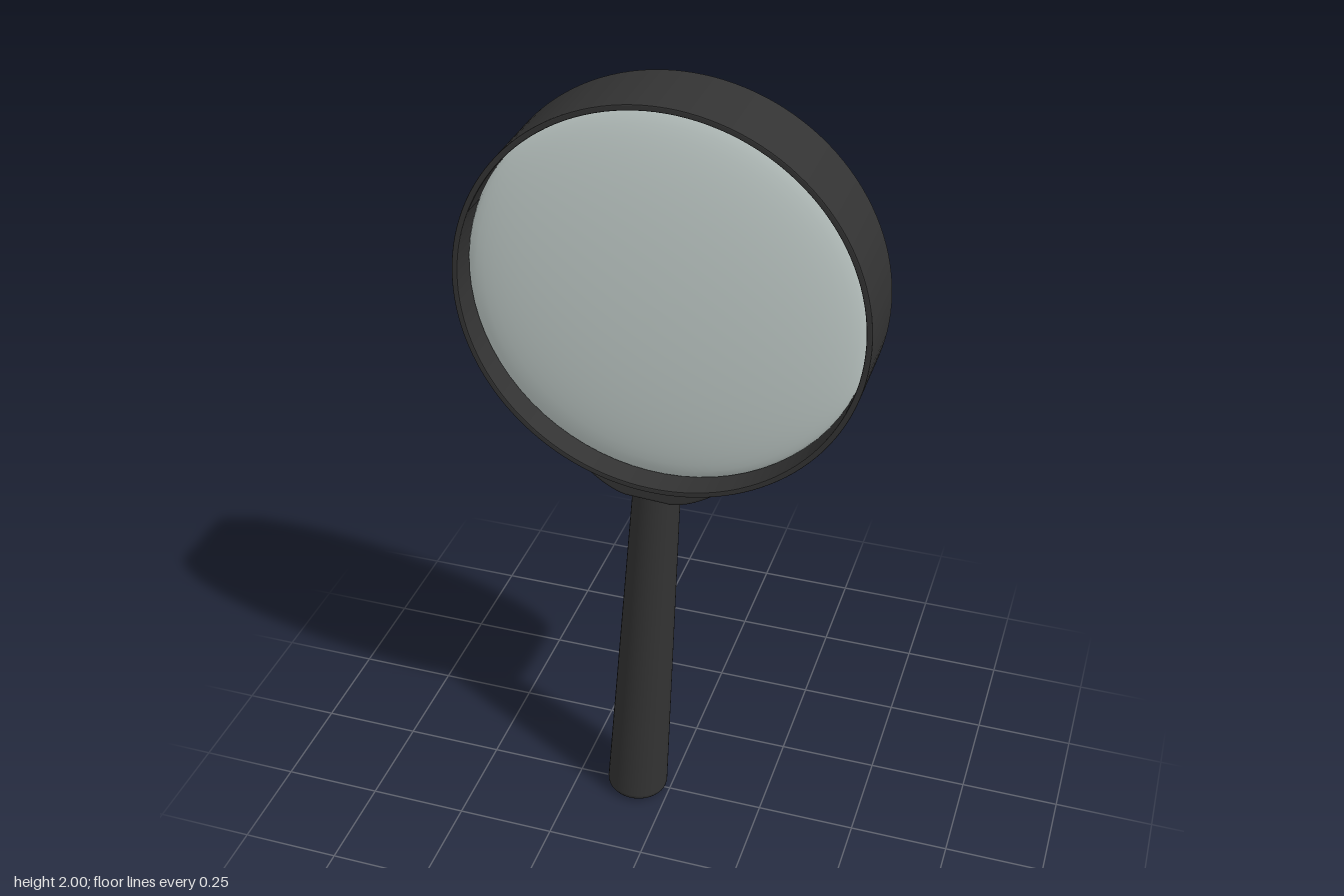
import * as THREE from 'three';

export function createModel() {
  const black = new THREE.MeshStandardMaterial({ color: 0x333333 });
  black.name = 'black plastic';
  const glass = new THREE.MeshStandardMaterial({ color: 0xc3cecb });
  glass.name = 'pale glass';

  const model = new THREE.Group();
  model.name = 'magnifyingGlass';
  const add = (name, geometry, material, parent) => {
    const mesh = new THREE.Mesh(geometry, material);
    mesh.name = name;
    parent.add(mesh);
    return mesh;
  };

  // Everything is centred on the middle of the lens
  const head = new THREE.Group();
  head.name = 'head';
  head.position.y = 1.515;
  model.add(head);

  // Deep ring around the lens
  const R = 0.485, r = 0.471, d = 0.097;
  const ring = new THREE.Shape().absarc(0, 0, R - 0.003, 0, Math.PI * 2);
  ring.holes.push(new THREE.Path().absarc(0, 0, r + 0.003, 0, Math.PI * 2, true));
  const ringGeometry = new THREE.ExtrudeGeometry(ring, {
    depth: d * 2, curveSegments: 64, bevelSize: 0.003, bevelThickness: 0.002, bevelSegments: 2,
  });
  ringGeometry.translate(0, 0, -d);
  add('rim', ringGeometry, black, head);

  // Lens bulging on both sides, recessed in the ring
  const profile = [];
  const steps = 14, edge = 0.03, bulge = 0.055;
  for (const side of [-1, 1]) {
    for (let i = 0; i <= steps; i++) {
      const a = (side < 0 ? i : steps - i) / steps * Math.PI / 2;
      profile.push(new THREE.Vector2(r * Math.sin(a), side * (edge + bulge * Math.cos(a))));
    }
  }
  const lens = add('lens', new THREE.LatheGeometry(profile, 72), glass, head);
  lens.rotation.x = Math.PI / 2;

  // The grip leans slightly to one side
  const grip = new THREE.Group();
  grip.name = 'grip';
  grip.rotation.z = -0.06;
  head.add(grip);

  // Flared collar joining ring and handle
  const collar = new THREE.Shape();
  const reach = 0.39;
  const cx = 0.478 * Math.sin(reach), cy = -0.478 * Math.cos(reach);
  collar.moveTo(-cx, cy);
  collar.quadraticCurveTo(-0.11, -0.51, -0.055, -0.518);
  collar.lineTo(0.055, -0.518);
  collar.quadraticCurveTo(0.11, -0.51, cx, cy);
  collar.absarc(0, 0, 0.478, -Math.PI / 2 + reach, -Math.PI / 2 - reach, true);
  const collarGeometry = new THREE.ExtrudeGeometry(collar, {
    depth: 0.14, curveSegments: 20, bevelSize: 0.008, bevelOffset: -0.001, bevelThickness: 0.009, bevelSegments: 3,
  });
  collarGeometry.translate(0, 0, -0.07);
  add('collar', collarGeometry, black, grip);

  // Tapered handle: sides, rounded lower edge and end caps
  const sides = [
    [0.079, -1.495], [0.057, -0.5],
  ].map(([x, y]) => new THREE.Vector2(x, y));
  add('handle', new THREE.LatheGeometry(sides, 40), black, grip);
  const end = [
    [0, -1.511], [0.066, -1.511], [0.074, -1.508], [0.078, -1.502], [0.079, -1.495],
  ].map(([x, y]) => new THREE.Vector2(x, y));
  add('handleEnd', new THREE.LatheGeometry(end, 40), black, grip);

  return model;
}
